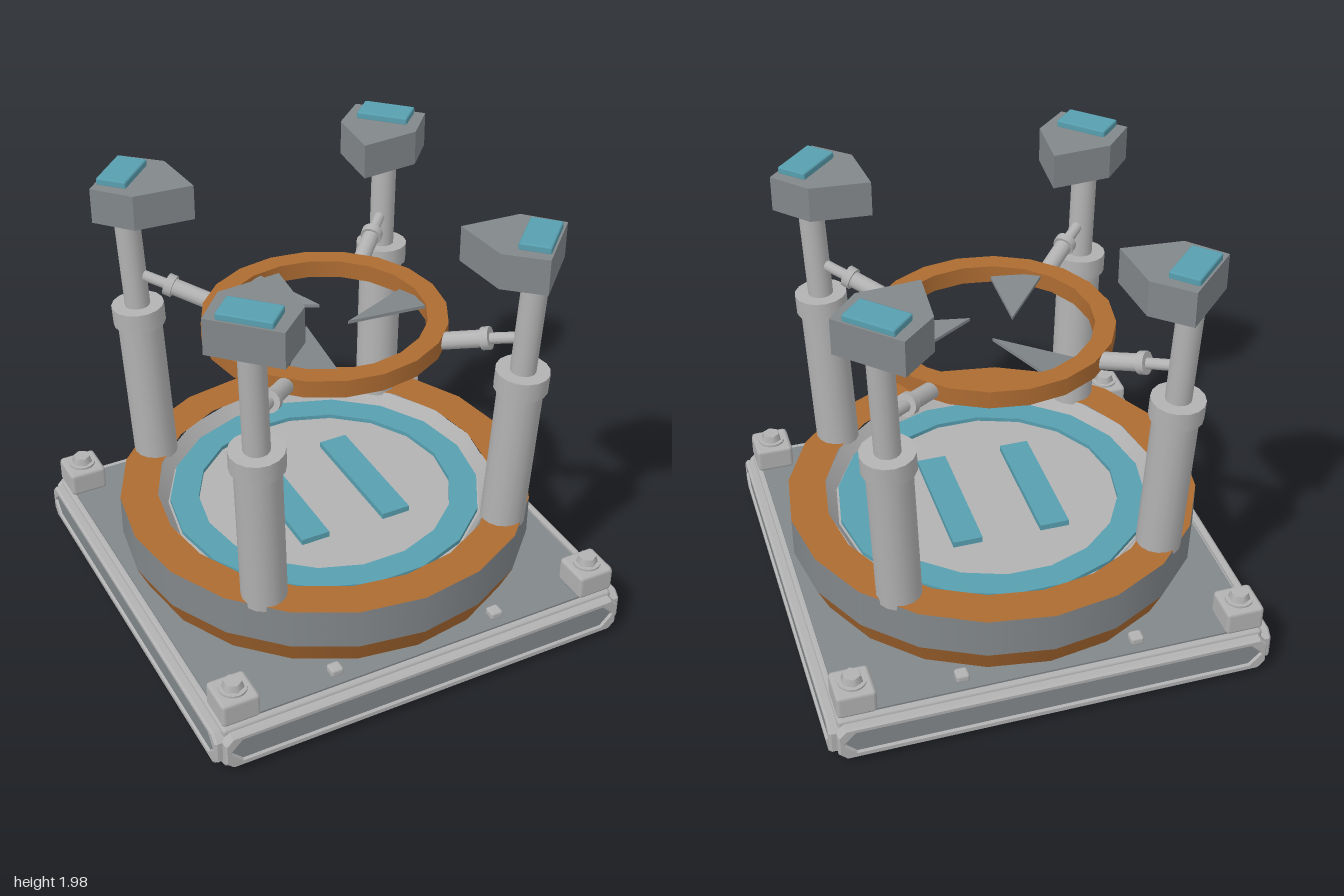
import * as THREE from 'three';
import { mergeGeometries } from 'three/addons/utils/BufferGeometryUtils.js';
import { RoundedBoxGeometry } from 'three/addons/geometries/RoundedBoxGeometry.js';

const material = (name, color) => {
  const m = new THREE.MeshStandardMaterial({ color });
  m.name = name;
  return m;
};

// Adds a named mesh to a parent
function add(parent, name, geometry, mat, x = 0, y = 0, z = 0) {
  const mesh = new THREE.Mesh(geometry, mat);
  mesh.name = name;
  mesh.position.set(x, y, z);
  parent.add(mesh);
  return mesh;
}

// Turned surface with a sharp edge at every profile point [radius, height]
function turned(points, sides) {
  const bands = [];
  for (let i = 0; i < points.length - 1; i++) {
    bands.push(new THREE.LatheGeometry([points[i], points[i + 1]].map(p => new THREE.Vector2(...p)), sides));
  }
  return mergeGeometries(bands).rotateY(Math.PI / 2);
}

// Square-section ring
const ringGeometry = (inner, outer, y0, y1, sides) =>
  turned([[inner, y0], [outer, y0], [outer, y1], [inner, y1], [inner, y0]], sides);

// Cylinder between two points [u, y] in the plane of an arm
function rod(parent, name, a, b, radius, mat, sides = 16) {
  const p = new THREE.Vector3(a[0], a[1], 0), q = new THREE.Vector3(b[0], b[1], 0);
  const dir = q.clone().sub(p);
  const mesh = add(parent, name, new THREE.CylinderGeometry(radius, radius, dir.length(), sides), mat);
  mesh.position.copy(p).add(q).multiplyScalar(0.5);
  mesh.quaternion.setFromUnitVectors(new THREE.Vector3(0, 1, 0), dir.normalize());
  return mesh;
}

const polygon = pts => new THREE.Shape(pts.map(p => new THREE.Vector2(...p)));

// Outline of a long bar with cut corners
const cutBar = (w, y0, y1, c) => [
  [-w, y0 + c], [-w + c, y0], [w - c, y0], [w, y0 + c],
  [w, y1 - c], [w - c, y1], [-w + c, y1], [-w, y1 - c],
];

export function createModel() {
  const model = new THREE.Group();
  model.name = 'landingPad';
  const light = material('lightGrey', 0xb2b2b2);
  const dark = material('darkGrey', 0x82878a);
  const orange = material('orange', 0xae6c32);
  const teal = material('teal', 0x589fb0);

  // Square base
  const base = new THREE.Group();
  base.name = 'base';
  model.add(base);
  add(base, 'baseBody', new RoundedBoxGeometry(1.92, 0.215, 1.92, 1, 0.02), light, 0, 0.1135, 0);
  add(base, 'basePlate', new THREE.BoxGeometry(1.87, 0.01, 1.87), dark, 0, 0.005, 0);
  add(base, 'deck', new THREE.BoxGeometry(1.87, 0.03, 1.87), dark, 0, 0.215, 0);

  // Framed panel on each side of the base
  const frameShape = polygon(cutBar(0.96, 0.04, 0.195, 0.03));
  frameShape.holes.push(new THREE.Path(cutBar(0.945, 0.06, 0.18, 0.055).map(p => new THREE.Vector2(...p))));
  const frameGeo = new THREE.ExtrudeGeometry(frameShape, {
    depth: 0.04, bevelThickness: 0.01, bevelSize: 0.008, bevelSegments: 1,
  });
  const insetGeo = new THREE.ExtrudeGeometry(polygon(cutBar(0.945, 0.06, 0.18, 0.055)), {
    depth: 0.045, bevelEnabled: false,
  });
  for (let i = 0; i < 4; i++) {
    const side = new THREE.Group();
    side.name = 'sidePanel';
    side.rotation.y = i * Math.PI / 2;
    base.add(side);
    add(side, 'panelFrame', frameGeo, light, 0, 0, 0.95);
    add(side, 'panelInset', insetGeo, dark, 0, 0, 0.945);
  }

  // Corner blocks with bolts, and small clips on the deck
  for (const x of [-1, 1]) {
    for (const z of [-1, 1]) {
      add(base, 'cornerBlock', new RoundedBoxGeometry(0.175, 0.12, 0.175, 1, 0.018), light, x * 0.87, 0.29, z * 0.87);
      add(base, 'boltWasher', new THREE.CylinderGeometry(0.062, 0.062, 0.012, 16), light, x * 0.87, 0.354, z * 0.87);
      add(base, 'bolt', new THREE.CylinderGeometry(0.04, 0.05, 0.035, 6), light, x * 0.87, 0.375, z * 0.87);
      add(base, 'clip', new RoundedBoxGeometry(0.06, 0.04, 0.06, 1, 0.012), light, x * 0.395, 0.245, z * 0.865);
    }
  }

  // Round platform
  const platform = new THREE.Group();
  platform.name = 'platform';
  model.add(platform);
  add(platform, 'lowerSkirt', turned([[0.88, 0.23], [0.935, 0.35]], 20), orange);
  add(platform, 'outerBand', turned([[0.935, 0.35], [0.935, 0.54]], 20), dark);
  add(platform, 'rim', turned([[0.935, 0.54], [0.765, 0.54]], 20), orange);
  add(platform, 'innerWall', turned([[0.765, 0.54], [0.72, 0.47]], 18), light);
  add(platform, 'floor', turned([[0.74, 0.47], [0, 0.47]], 18), light);
  add(platform, 'floorRing', ringGeometry(0.58, 0.71, 0.465, 0.49, 18), teal);

  // Plain pair of raised landing bars
  for (const x of [-1, 1]) {
    add(platform, 'landingBar', new THREE.BoxGeometry(0.135, 0.03, 0.62), teal, x * 0.203, 0.483, 0);
  }

  // Four leaning pylons, each with a lamp head and a strut to the rotor ring
  const headGeo = new THREE.ExtrudeGeometry(
    polygon([[0.985, -0.165], [0.985, 0.165], [0.785, 0.175], [0.58, 0], [0.785, -0.175]]),
    { depth: 0.16, bevelEnabled: false }).rotateX(-Math.PI / 2);
  const lean = y => [0.834 + (y - 0.54) * 0.056, y];
  for (let i = 0; i < 4; i++) {
    const pylon = new THREE.Group();
    pylon.name = 'pylon';
    pylon.rotation.y = Math.PI / 4 + i * Math.PI / 2;
    model.add(pylon);
    rod(pylon, 'pylonTube', lean(0.52), lean(1.25), 0.1, light);
    rod(pylon, 'pylonCollar', lean(1.225), lean(1.315), 0.118, light);
    rod(pylon, 'pylonRod', lean(1.3), lean(1.8), 0.057, light);
    add(pylon, 'head', headGeo, dark, 0, 1.79, 0);
    add(pylon, 'headLamp', new RoundedBoxGeometry(0.137, 0.035, 0.235, 1, 0.008), teal, 0.908, 1.962, 0);
    rod(pylon, 'strutRod', [0.87, 1.475], [0.68, 1.43], 0.025, light, 10);
    rod(pylon, 'strutCollar', [0.73, 1.444], [0.695, 1.434], 0.05, light, 12);
    rod(pylon, 'strutSleeve', [0.71, 1.438], [0.515, 1.387], 0.038, light, 12);
  }

  // Rotor ring with three pitched blades
  const rotor = new THREE.Group();
  rotor.name = 'rotor';
  model.add(rotor);
  add(rotor, 'rotorRing', ringGeometry(0.445, 0.535, 1.35, 1.43, 20), orange);
  const bladeGeo = new THREE.ExtrudeGeometry(
    polygon([[0.45, 0.115], [0.075, -0.075], [0.44, -0.13]]),
    { depth: 0.015, bevelEnabled: false }).rotateX(-Math.PI / 2);
  const pos = bladeGeo.attributes.position;
  for (let i = 0; i < pos.count; i++) pos.setY(i, pos.getY(i) + pos.getZ(i) * 0.18);
  bladeGeo.computeVertexNormals();
  for (let i = 0; i < 3; i++) {
    add(rotor, 'blade', bladeGeo, dark, 0, 1.38, 0).rotation.y = i * Math.PI * 2 / 3;
  }

  return model;
}
